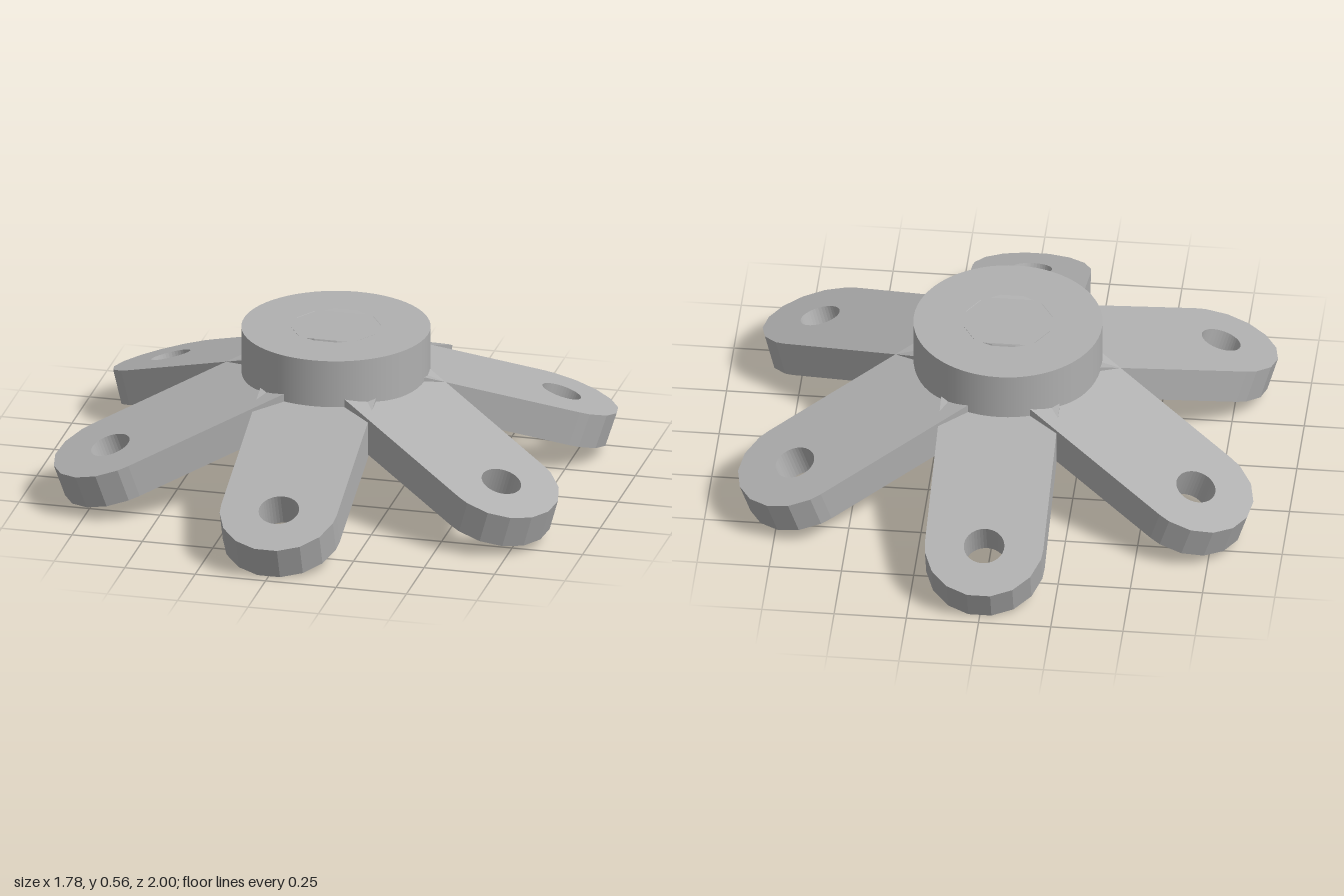
import * as THREE from 'three';

const HALF_WIDTH = 0.205;   // half width of an arm
const THICKNESS = 0.123;
const REACH = 0.822;        // distance from hub axis to the bolt hole, along the arm
const APEX = 0.372;         // height where the arm undersides meet

// Flat bar with faceted round ends and a bolt hole, tilted down from the apex
function armGeometry(tilt) {
  const points = [];
  const addEnd = (centre, start) => {
    points.push(new THREE.Vector2(HALF_WIDTH * Math.cos(start), centre));
    for (let i = 0; i < 8; i++) {
      const a = start + ((i + 0.5) * Math.PI) / 8;
      points.push(new THREE.Vector2(Math.cos(a) * HALF_WIDTH, centre + Math.sin(a) * HALF_WIDTH * 1.01));
    }
    points.push(new THREE.Vector2(-HALF_WIDTH * Math.cos(start), centre));
  };
  addEnd(REACH, 0);
  addEnd(0, Math.PI);

  const shape = new THREE.Shape(points);
  const hole = new THREE.Path();
  hole.absarc(0, REACH, 0.07, 0, Math.PI * 2, true);
  shape.holes.push(hole);

  const geometry = new THREE.ExtrudeGeometry(shape, {
    depth: THICKNESS, bevelEnabled: false, curveSegments: 20,
  });
  geometry.translate(0, 0, -THICKNESS);
  geometry.rotateX(Math.PI / 2 + tilt);
  geometry.translate(0, APEX, 0);
  return geometry;
}

export function createModel() {
  const model = new THREE.Group();
  model.name = 'strutConnector';
  const grey = new THREE.MeshStandardMaterial({ color: 0xb0b0b0 });
  grey.name = 'grey';

  // Central disc
  const hub = new THREE.Mesh(new THREE.CylinderGeometry(0.326, 0.326, 0.17, 64), grey);
  hub.name = 'hub';
  hub.position.y = 0.47;
  model.add(hub);

  // Two steeper arms along z, four shallower ones between them
  const rad = THREE.MathUtils.degToRad;
  const steep = armGeometry(rad(21.3));
  const shallow = armGeometry(rad(19.5));
  for (const heading of [0, 58.3, 121.7, 180, 238.3, 301.7]) {
    const arm = new THREE.Mesh(heading % 180 === 0 ? steep : shallow, grey);
    arm.name = 'arm';
    arm.rotation.y = rad(heading);
    model.add(arm);
  }
  return model;
}
